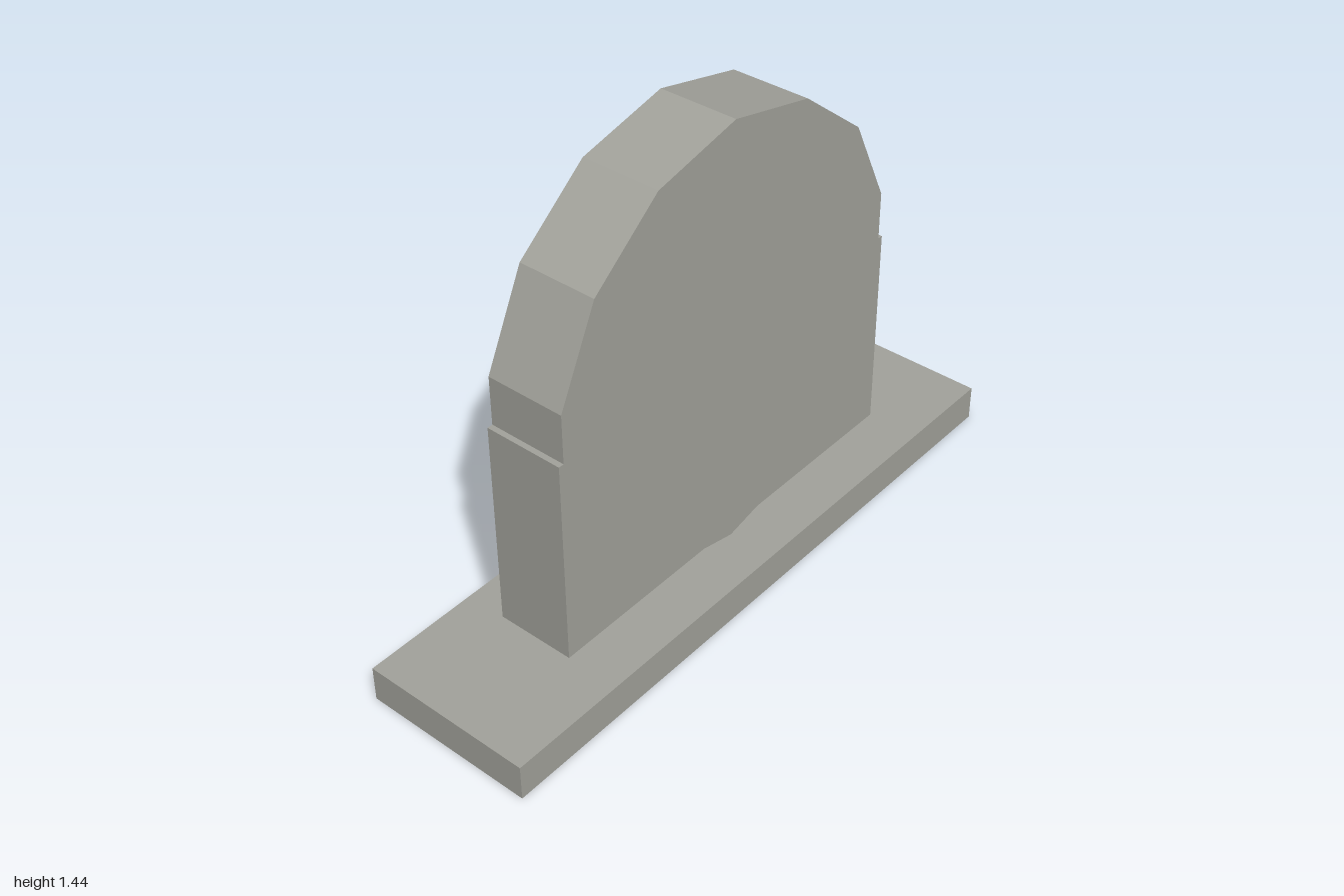
import * as THREE from 'three';

const RADIUS = 0.665, SIDES = 14, CENTRE_Y = 0.775, DEPTH = 0.24;
const BASE_TOP = 0.11, SLAB_BOTTOM = 0.137;

export function createModel() {
  const model = new THREE.Group();
  model.name = 'headstone';

  const stone = new THREE.MeshStandardMaterial({ color: 0xa3a39c, flatShading: true });
  stone.name = 'grey stone';

  // Wide plinth on the ground
  const plinth = new THREE.Mesh(new THREE.BoxGeometry(2, BASE_TOP, 0.53), stone);
  plinth.name = 'plinth';
  plinth.position.y = BASE_TOP / 2;
  model.add(plinth);

  // Upright slab: square shoulders, a faceted round top and a small foot point
  const outline = new THREE.Shape();
  const footX = 0.118;
  outline.moveTo(0, BASE_TOP);
  outline.lineTo(footX, SLAB_BOTTOM);
  outline.lineTo(RADIUS, SLAB_BOTTOM);
  outline.lineTo(RADIUS, CENTRE_Y);
  const step = (Math.PI * 2) / SIDES;
  const shoulderX = RADIUS * Math.sin(3 * step);
  outline.lineTo(shoulderX, CENTRE_Y);
  for (let i = 3; i >= -3; i--) {
    outline.lineTo(RADIUS * Math.sin(i * step), CENTRE_Y + RADIUS * Math.cos(i * step));
  }
  outline.lineTo(-shoulderX, CENTRE_Y);
  outline.lineTo(-RADIUS, CENTRE_Y);
  outline.lineTo(-RADIUS, SLAB_BOTTOM);
  outline.lineTo(-footX, SLAB_BOTTOM);
  outline.closePath();

  const slabGeometry = new THREE.ExtrudeGeometry(outline, { depth: DEPTH, bevelEnabled: false });
  slabGeometry.translate(0, 0, -DEPTH / 2);
  const slab = new THREE.Mesh(slabGeometry, stone);
  slab.name = 'slab';
  model.add(slab);

  return model;
}
